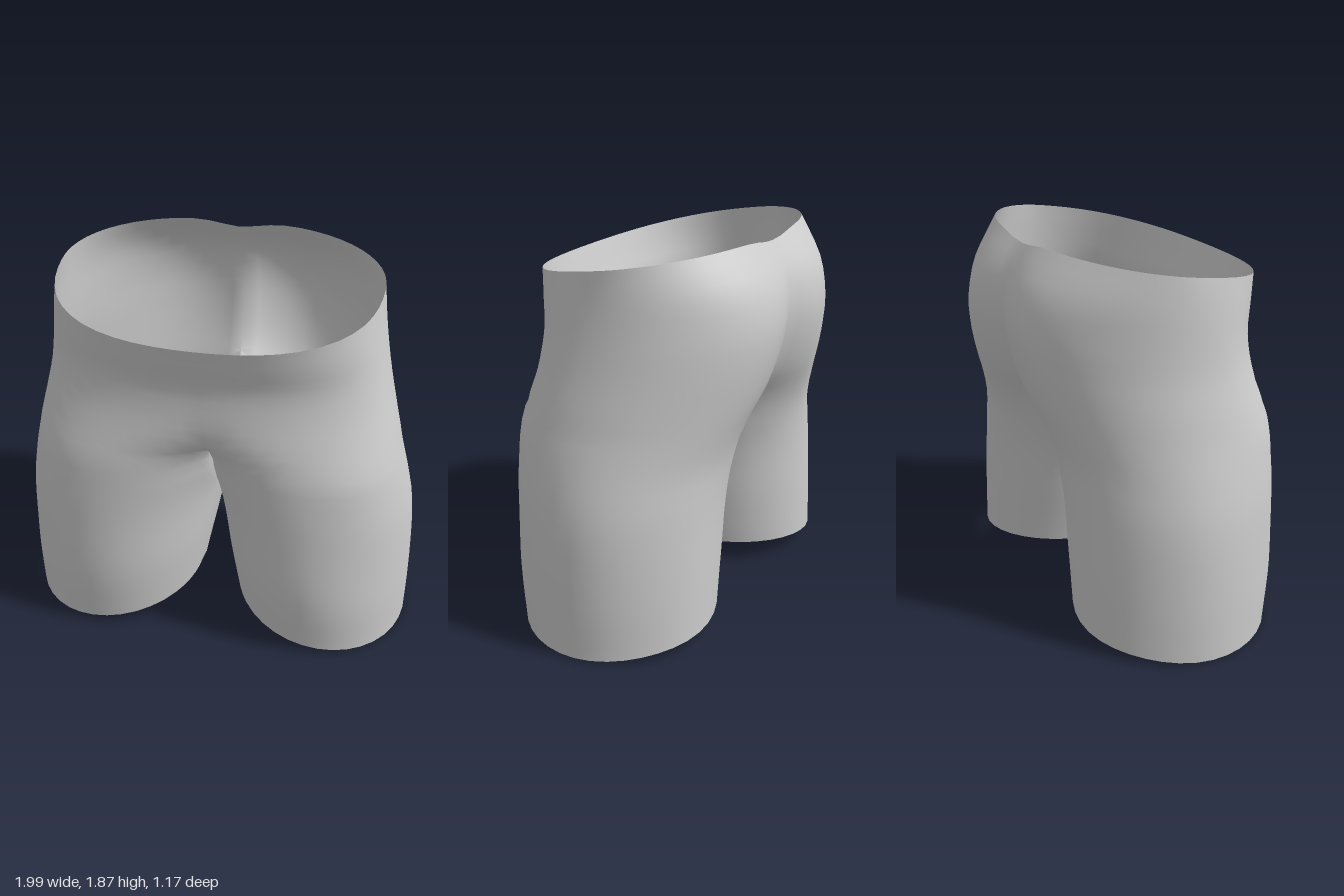
import * as THREE from 'three';
import { mergeVertices, toCreasedNormals } from 'three/addons/utils/BufferGeometryUtils.js';

// Section keys: level, outer x, front centre x, back centre x, side z, front z, back z
const SECTIONS = [
  [0.00, 0.995, 0.550, 0.545, 0.07, 0.55, -0.42],
  [0.30, 0.995, 0.528, 0.518, 0.07, 0.58, -0.42],
  [0.70, 0.970, 0.489, 0.465, 0.08, 0.57, -0.42],
  [0.90, 0.930, 0.445, 0.405, 0.10, 0.56, -0.435],
  [1.05, 0.893, 0.400, 0.360, 0.12, 0.55, -0.475],
  [1.20, 0.858, 0.230, 0.290, 0.12, 0.53, -0.53],
  [1.35, 0.822, 0.080, 0.250, 0.11, 0.515, -0.57],
  [1.50, 0.797, 0.010, 0.220, 0.09, 0.515, -0.585],
  [1.65, 0.778, 0.000, 0.180, 0.06, 0.55, -0.55],
  [1.81, 0.760, 0.000, 0.100, 0.02, 0.585, -0.44],
];
const CROTCH = 1.05, WAIST = 1.81;
const OUTER = 28, INNER = 12; // segments round the outside and the inner thigh

const keys = new THREE.CubicInterpolant(
  SECTIONS.map((s) => s[0]), SECTIONS.flatMap((s) => s.slice(1)), 6, new Float32Array(6));

function sectionAt(level) {
  const [w, cfRaw, cb, cz, f, b] = keys.evaluate(level);
  const cf = Math.max(cfRaw, 0);
  // angles at which the front and back curves reach the centre line
  const endAngle = (c) => Math.acos(-c / (w - c));
  // the outer corners are fuller than an ellipse in front and flatter behind
  const cornerF = 0.065 * THREE.MathUtils.smoothstep(level, 0.4, 1.1);
  const cornerB = -0.03 * (1 - THREE.MathUtils.smoothstep(level, 1.5, 1.81));
  return { w, cf, cb, cz, f, b, cornerF, cornerB, endF: endAngle(cf), endB: endAngle(cb) };
}

// Point of a section; angle 0 is the outer side, positive angles face the front
function pointAt(s, angle, gap) {
  const front = Math.sin(angle) >= 0;
  const c = front ? s.cf : s.cb;
  const depth = front ? s.f - s.cz : s.cz - s.b;
  const corner = Math.cos(angle) > 0 ? Math.sin(2 * angle) ** 2 : 0;
  const k = 1 + (front ? s.cornerF : s.cornerB) * corner;
  return [Math.max(c + k * (s.w - c) * Math.cos(angle), gap), s.cz + k * depth * Math.sin(angle)];
}

const crotch = sectionAt(CROTCH);

// Leg ring: outer arc from front to back, then inner arc back to the front
function legRow(level) {
  const s = sectionAt(level), row = [];
  const k = level / CROTCH;
  const gap = level < CROTCH - 0.001 ? 0.002 : 0;
  for (let j = 0; j <= OUTER + INNER; j++) {
    const t = (j - OUTER) / INNER;
    const a = j <= OUTER
      ? THREE.MathUtils.lerp(crotch.endF, -crotch.endB, j / OUTER)
      : THREE.MathUtils.lerp(-crotch.endB, crotch.endF - 2 * Math.PI, t);
    const [x, z] = pointAt(s, a, gap);
    const hem = 0.06 - 0.055 * Math.cos(a) - 0.02 * Math.sin(a);
    const sag = j > OUTER ? 0.06 * Math.sin(Math.PI * t) * k * k : 0;
    row.push([x, level + hem * (1 - k) - sag, z]);
  }
  return row;
}

// Hip row: half ring from front centre to back centre, rising to the sloped waist
function hipRow(level) {
  const s = sectionAt(level), row = [];
  const k = (level - CROTCH) / (WAIST - CROTCH);
  for (let j = 0; j <= OUTER; j++) {
    const a = THREE.MathUtils.lerp(s.endF, -s.endB, j / OUTER);
    let [x, z] = pointAt(s, a, 0);
    if (j === 0 || j === OUTER) x = 0;
    const dip = z < 0 ? 0.03 * Math.exp(-((x / 0.15) ** 2)) : 0;
    const waistY = 1.815 - 0.16 * z - 0.06 * z * z - dip;
    row.push([x, level + (waistY - WAIST) * k * k, z]);
  }
  return row;
}

// Skin rows with quads on the given side; the waist leans slightly to the right
function skin(rows, side, out) {
  const put = ([x, y, z]) =>
    out.push(x * side - 0.018 * THREE.MathUtils.smoothstep(y, 1.3, 1.8), y, z);
  for (let i = 0; i < rows.length - 1; i++) {
    for (let j = 0; j < rows[i].length - 1; j++) {
      const a = rows[i][j], b = rows[i][j + 1];
      const c = rows[i + 1][j + 1], d = rows[i + 1][j];
      (side > 0 ? [a, b, c, a, c, d] : [a, c, b, a, d, c]).forEach(put);
    }
  }
}

export function createModel() {
  const group = new THREE.Group();
  group.name = 'shorts';
  const cloth = new THREE.MeshStandardMaterial({ color: 0xcccccc, side: THREE.DoubleSide });
  cloth.name = 'grey cloth';

  const legRows = [], hipRows = [];
  for (let i = 0; i <= 14; i++) legRows.push(legRow((CROTCH * i) / 14));
  for (let i = 0; i <= 14; i++) hipRows.push(hipRow(CROTCH + ((WAIST - CROTCH) * i) / 14));

  // Both legs and the hips form one continuous open shell
  const positions = [];
  for (const side of [1, -1]) {
    skin(legRows, side, positions);
    skin(hipRows, side, positions);
  }
  let geometry = new THREE.BufferGeometry();
  geometry.setAttribute('position', new THREE.Float32BufferAttribute(positions, 3));
  geometry = toCreasedNormals(mergeVertices(geometry, 1e-4), 1.0);

  const shell = new THREE.Mesh(geometry, cloth);
  shell.name = 'shortsShell';
  group.add(shell);
  return group;
}
